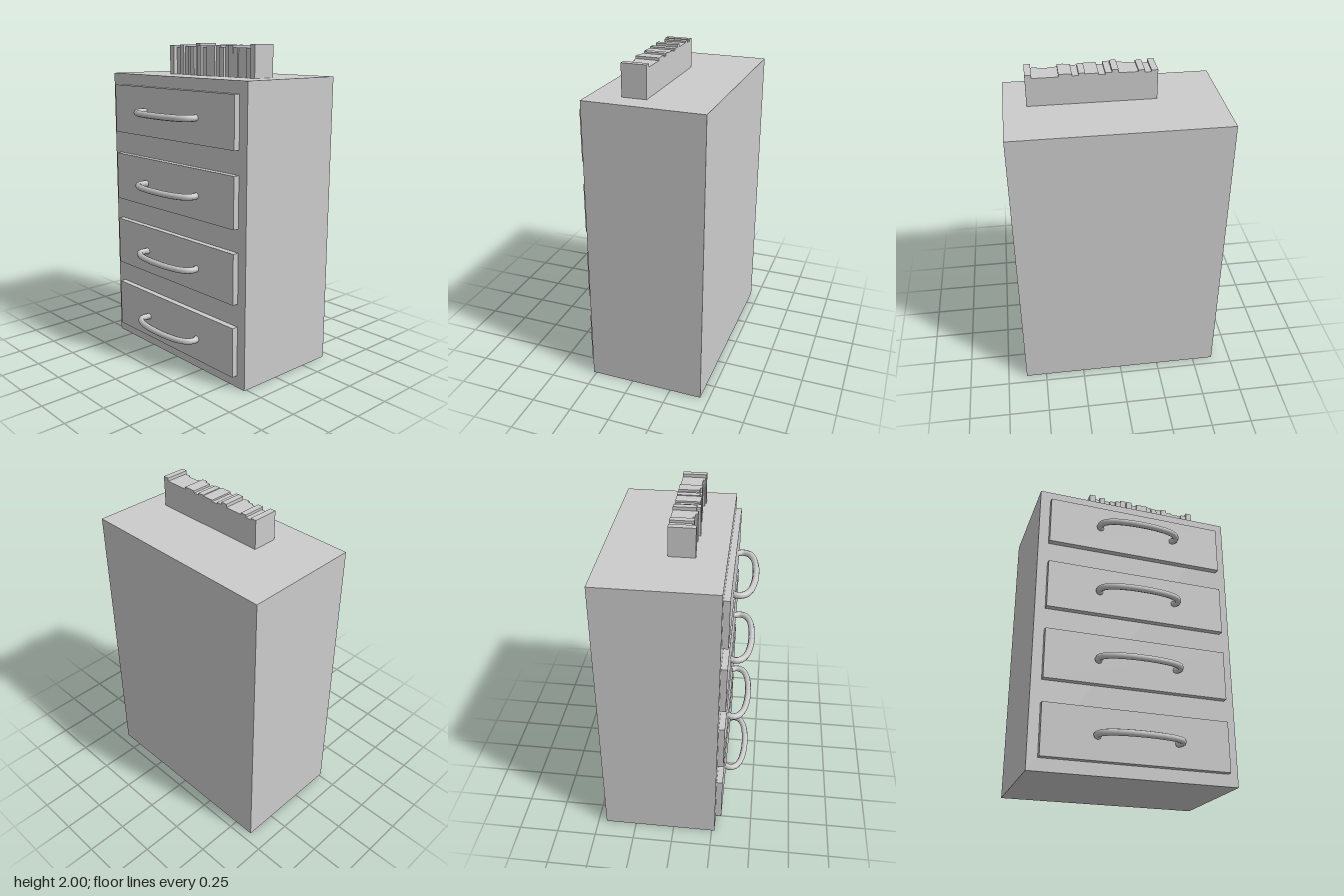
import * as THREE from 'three';

const material = new THREE.MeshStandardMaterial({ color: 0xcccccc });

// Box given by its minimum and maximum corners
function box(name, [x0, y0, z0], [x1, y1, z1]) {
  const mesh = new THREE.Mesh(new THREE.BoxGeometry(x1 - x0, y1 - y0, z1 - z0), material);
  mesh.position.set((x0 + x1) / 2, (y0 + y1) / 2, (z0 + z1) / 2);
  mesh.name = name;
  return mesh;
}

// Bowed handle: half of the path is mirrored across x = 0
function handleGeometry() {
  const half = [[0.24, 0.3], [0.255, 0.335], [0.24, 0.373], [0.19, 0.402], [0.1, 0.42]];
  const points = [
    ...half.map(([x, z]) => new THREE.Vector3(-x, 0, z)),
    new THREE.Vector3(0, 0, 0.425),
    ...half.slice().reverse().map(([x, z]) => new THREE.Vector3(x, 0, z)),
  ];
  return new THREE.TubeGeometry(new THREE.CatmullRomCurve3(points), 40, 0.02, 8);
}

export function createModel() {
  const model = new THREE.Group();
  model.name = 'drawerCabinet';
  const top = 1.805;
  model.add(box('cabinetBody', [-0.63, 0, -0.447], [0.63, top, 0.268]));

  // Four drawers, each with a front panel and a handle
  const handle = handleGeometry();
  [0.215, 0.67, 1.12, 1.58].forEach((handleY, i) => {
    const drawer = new THREE.Group();
    drawer.name = 'drawer';
    const y = 0.075 + i * 0.45;
    drawer.add(box('drawerFront', [-0.567, y, 0.26], [0.567, y + 0.308, 0.306]));
    const pull = new THREE.Mesh(handle, material);
    pull.name = 'drawerHandle';
    pull.position.y = handleY;
    drawer.add(pull);
    model.add(drawer);
  });

  // Row of books with a shared back plane: [top y, front z]
  const books = new THREE.Group();
  books.name = 'bookRow';
  const sizes = [
    [1.985, 0.092], [1.975, 0.065], [1.99, 0.073], [1.98, 0.06], [1.98, 0.07],
    [1.98, 0.083], [2.0, 0.07], [1.985, 0.092], [1.975, 0.077], [1.985, 0.083],
    [1.985, 0.083], [1.99, 0.07], [1.977, 0.08], [1.99, 0.063], [1.99, 0.075],
    [1.975, 0.073], [1.975, 0.065], [1.975, 0.065], [1.975, 0.077], [1.995, 0.083],
  ];
  const width = 0.0376;
  sizes.forEach(([y, z], i) => {
    const x = -0.257 + i * width;
    books.add(box('book', [x, top, -0.065], [x + width, y, z]));
  });
  model.add(books);
  return model;
}
